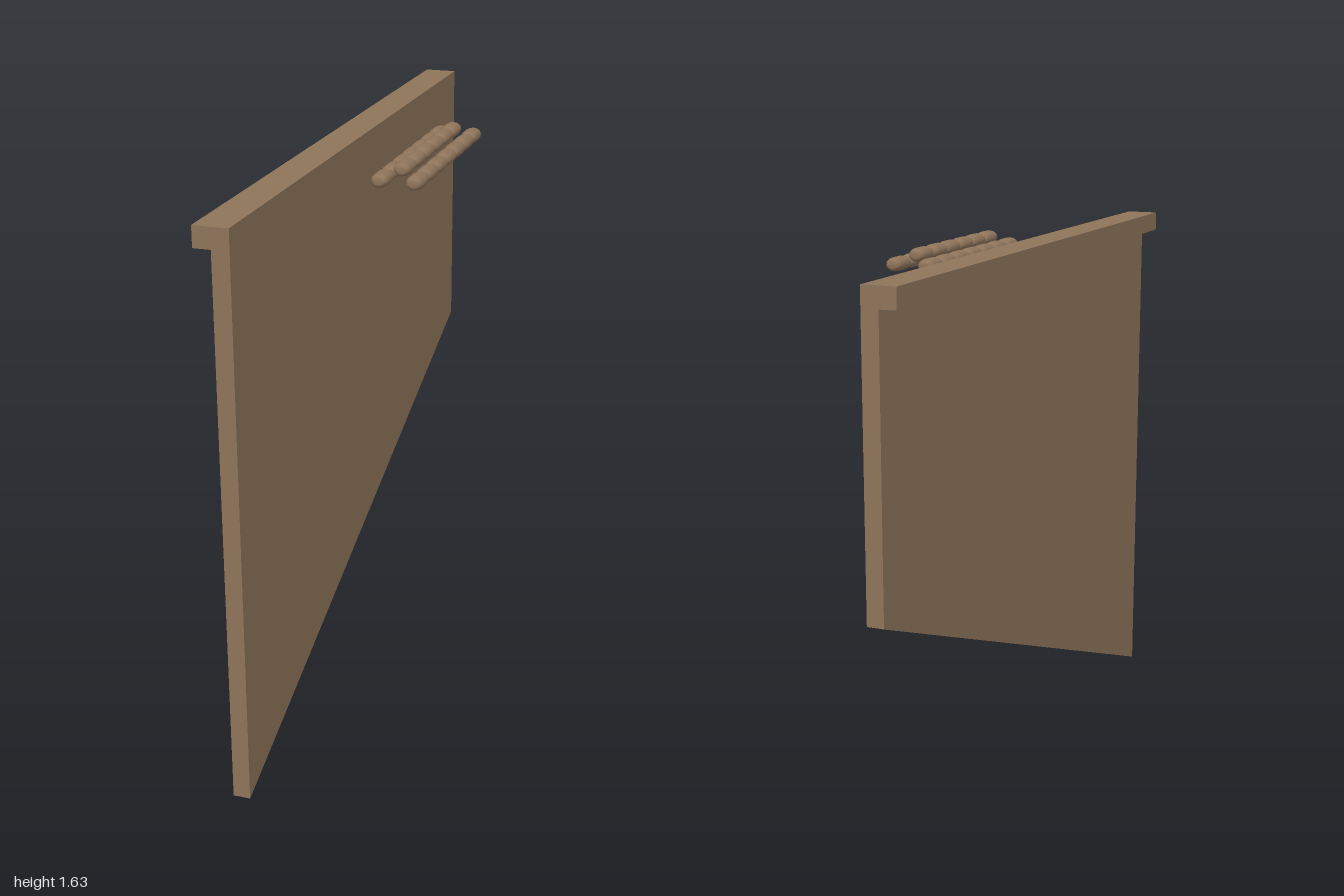
import * as THREE from 'three';

export function createModel() {
  const group = new THREE.Group();
  group.name = 'railedPanel';
  const brown = new THREE.MeshStandardMaterial({ color: 0x8e745a });
  brown.name = 'brown';

  const add = (geometry, name, x, y, z, parent = group) => {
    const mesh = new THREE.Mesh(geometry, brown);
    mesh.name = name;
    mesh.position.set(x, y, z);
    parent.add(mesh);
    return mesh;
  };

  const top = 1.627, railHeight = 0.058, railBottom = top - railHeight;

  // Wall panel with a sloping lower edge, drawn in (z, y) and given its thickness along x
  const outline = new THREE.Shape([
    new THREE.Vector2(1, 0),
    new THREE.Vector2(1, railBottom),
    new THREE.Vector2(-1, railBottom),
    new THREE.Vector2(-1, 0.755),
  ]);
  const panel = new THREE.ExtrudeGeometry(outline, { depth: 0.049, bevelEnabled: false });
  panel.rotateY(-Math.PI / 2);
  add(panel, 'wallPanel', -0.093, 0, 0);

  // Top rail, flush on one side and overhanging on the other
  add(new THREE.BoxGeometry(0.098, railHeight, 2), 'topRail', -0.142, top - railHeight / 2, 0);

  // Pebble: rounded barrel with small flat ends, flattened in height
  const half = [[0.0001, 0.043], [0.012, 0.043], [0.018, 0.040], [0.023, 0.033], [0.026, 0.021]];
  const profile = [
    ...half.map(([r, h]) => new THREE.Vector2(r, -h)),
    ...half.slice().reverse().map(([r, h]) => new THREE.Vector2(r, h)),
  ];
  const pebble = new THREE.LatheGeometry(profile, 16);
  pebble.rotateX(Math.PI / 2);
  pebble.scale(1, 0.78, 1);

  // Two lower rows with a third row nested on top between them
  const rows = [
    { name: 'lowerRowRight', x: 0.061, y: 1.582, count: 7 },
    { name: 'upperRow', x: 0.111, y: 1.606, count: 6 },
    { name: 'lowerRowLeft', x: 0.161, y: 1.582, count: 7 },
  ];
  for (const { name, x, y, count } of rows) {
    const row = new THREE.Group();
    row.name = name;
    for (let i = 0; i < count; i++) {
      add(pebble, 'pebble', x, y, (i - (count - 1) / 2) * 0.0929, row);
    }
    group.add(row);
  }
  return group;
}
